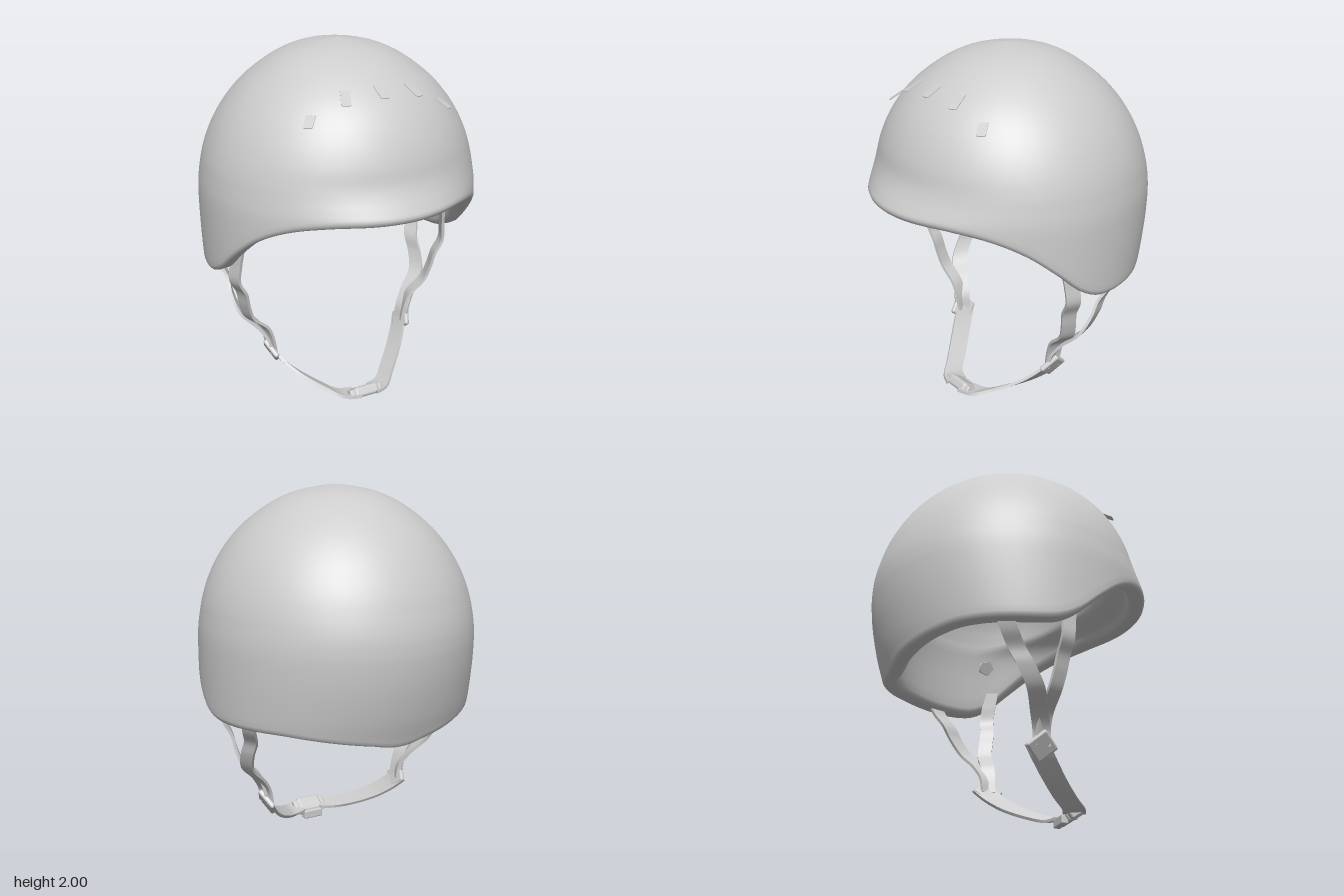
import * as THREE from 'three';
import { toCreasedNormals } from 'three/addons/utils/BufferGeometryUtils.js';
import { RoundedBoxGeometry } from 'three/addons/geometries/RoundedBoxGeometry.js';

const grey = new THREE.MeshStandardMaterial({ color: 0xcccccc });
grey.name = 'grey';

// smooth interpolation of column c in a table sorted by its first column
function sample(table, x, c) {
  const n = table.length;
  let i = 0;
  while (i < n - 2 && x > table[i + 1][0]) i++;
  const slope = (a, b) => (table[b][c] - table[a][c]) / (table[b][0] - table[a][0]);
  const h = table[i + 1][0] - table[i][0];
  const u = Math.min(1, Math.max(0, (x - table[i][0]) / h));
  const m0 = slope(Math.max(0, i - 1), i + 1) * h;
  const m1 = slope(i, Math.min(n - 1, i + 2)) * h;
  const u2 = u * u, u3 = u2 * u;
  return (2 * u3 - 3 * u2 + 1) * table[i][c] + (u3 - 2 * u2 + u) * m0
    + (3 * u2 - 2 * u3) * table[i + 1][c] + (u3 - u2) * m1;
}

// shell outline from the crown down: height, half width, front depth, back depth, brow flare
const outline = [
  [2, 0, 0, 0, 0], [1.988, 0.09, 0.08, 0.105, 0], [1.96, 0.22, 0.205, 0.24, 0], [1.9, 0.35, 0.338, 0.37, 0],
  [1.8, 0.485, 0.478, 0.505, 0], [1.7, 0.578, 0.568, 0.6, 0], [1.6, 0.645, 0.628, 0.667, 0],
  [1.5, 0.692, 0.668, 0.717, 0], [1.41, 0.721, 0.69, 0.747, 0], [1.35, 0.733, 0.702, 0.763, 0.015],
  [1.3, 0.741, 0.712, 0.772, 0.036], [1.25, 0.747, 0.72, 0.776, 0.055], [1.18, 0.75, 0.725, 0.776, 0.055],
  [1.05, 0.75, 0.73, 0.762, 0.055], [0.9, 0.747, 0.735, 0.73, 0.055], [0.8, 0.742, 0.735, 0.7, 0.055],
  [0.7, 0.735, 0.735, 0.665, 0.055],
].map((row, i) => [i, ...row]);

// height of the lower edge along z, back to front
const rim = [
  [-0.7, 0.725], [-0.686, 0.747], [-0.64, 0.77], [-0.56, 0.792], [-0.45, 0.808], [-0.05, 0.815], [0.1, 0.87],
  [0.25, 0.99], [0.4, 1.105], [0.55, 1.185], [0.68, 1.222], [0.775, 1.228],
];

function shellGeometry() {
  const around = 128, outer = 44, inner = 28;
  const pos = [], index = [];
  let count = 0;
  for (let i = 0; i < around; i++) {
    const a = (i / around) * Math.PI * 2, s = Math.sin(a), c = Math.cos(a);
    const edge = sample(rim, c * (c > 0 ? 0.775 : 0.7), 1);
    let lo = 0, hi = outline.length - 1;
    for (let k = 0; k < 30; k++) {
      const mid = (lo + hi) / 2;
      if (sample(outline, mid, 1) > edge + 0.03) lo = mid; else hi = mid;
    }
    const start = pos.length;
    const put = (t, scale, y) => {
      const depth = c > 0 ? sample(outline, t, 3) + sample(outline, t, 5) * c ** 4 : sample(outline, t, 4);
      pos.push(sample(outline, t, 2) * s * scale, y, depth * c * scale);
    };
    for (let j = 0; j <= outer; j++) {
      const t = (lo * j) / outer;
      put(t, 1, sample(outline, t, 1));
    }
    // rolled edge
    for (const [k, dy] of [[0.994, 0.014], [0.98, 0.003], [0.955, 0], [0.9, 0.003], [0.875, 0.018]]) put(lo, k, edge + dy);
    // padded inside
    for (let j = 0; j <= inner; j++) {
      const f = j / inner, t = lo * (1 - f);
      put(t, 0.865 - 0.085 * Math.min(1, f * 5), sample(outline, t, 1) + 0.01 - 0.14 * f);
    }
    count = (pos.length - start) / 3;
  }
  for (let i = 0; i < around; i++) {
    const p = i * count, q = ((i + 1) % around) * count;
    for (let j = 0; j < count - 1; j++) {
      index.push(p + j, p + j + 1, q + j + 1, p + j, q + j + 1, q + j);
    }
  }
  const g = new THREE.BufferGeometry();
  g.setAttribute('position', new THREE.Float32BufferAttribute(pos, 3));
  g.setIndex(index);
  g.computeVertexNormals();
  return g;
}

// webbing along points [x, y, z], its width lying along z, tilted up and turned outwards
function webbing(points, width, tilt, yaw) {
  const thick = 0.016, steps = 48;
  const path = new THREE.CatmullRomCurve3(points.map(p => new THREE.Vector3(...p)));
  const w = new THREE.Vector3(Math.tan(yaw), Math.sin(tilt), Math.cos(tilt));
  const pos = [], index = [];
  for (let i = 0; i <= steps; i++) {
    const p = path.getPoint(i / steps), t = path.getTangent(i / steps);
    const n = new THREE.Vector3().crossVectors(t, w).normalize();
    for (const [sw, sn] of [[1, 1], [-1, 1], [-1, -1], [1, -1]]) {
      const v = p.clone().addScaledVector(w, sw * width / 2).addScaledVector(n, sn * thick / 2);
      pos.push(v.x, v.y, v.z);
    }
    if (i === steps) continue;
    for (let k = 0; k < 4; k++) {
      const A = i * 4 + k, B = i * 4 + (k + 1) % 4;
      index.push(A, B, B + 4, A, B + 4, A + 4);
    }
  }
  const e = steps * 4;
  index.push(0, 2, 1, 0, 3, 2, e, e + 1, e + 2, e, e + 2, e + 3);
  const g = new THREE.BufferGeometry();
  g.setAttribute('position', new THREE.Float32BufferAttribute(pos, 3));
  g.setIndex(index);
  return toCreasedNormals(g, 0.7);
}

// thin tongue with a rounded tip, lying from one point to another
function ventTab(from, to) {
  const a = new THREE.Vector3(...from), b = new THREE.Vector3(...to);
  const len = a.distanceTo(b), w = 0.024;
  const s = new THREE.Shape();
  s.moveTo(-w, 0);
  s.lineTo(w, 0);
  s.lineTo(w, len - 0.012);
  s.quadraticCurveTo(w, len, w - 0.012, len);
  s.lineTo(-w + 0.012, len);
  s.quadraticCurveTo(-w, len, -w, len - 0.012);
  const g = new THREE.ExtrudeGeometry(s, { depth: 0.004, bevelEnabled: false });
  const Y = b.clone().sub(a).normalize();
  const out = new THREE.Vector3(a.x, 0.6, a.z);
  const X = new THREE.Vector3().crossVectors(Y, out).normalize();
  const Z = new THREE.Vector3().crossVectors(X, Y);
  return g.applyMatrix4(new THREE.Matrix4().makeBasis(X, Y, Z).setPosition(a));
}

export function createModel() {
  const model = new THREE.Group();
  model.name = 'helmet';
  const add = (name, geometry, position = [0, 0, 0], rotation = [0, 0, 0]) => {
    const mesh = new THREE.Mesh(geometry, grey);
    mesh.name = name;
    mesh.position.set(...position);
    mesh.rotation.set(...rotation);
    model.add(mesh);
  };

  add('shell', shellGeometry());

  // row of vent tabs over the brow
  add('ventTabCentre', ventTab([0, 1.843, 0.415], [0, 1.79, 0.515]));
  for (const [side, m] of [['Left', 1], ['Right', -1]]) {
    add('ventTabInner' + side, ventTab([m * 0.172, 1.825, 0.415], [m * 0.206, 1.773, 0.498]));
    add('ventTabOuter' + side, ventTab([m * 0.355, 1.728, 0.42], [m * 0.4, 1.682, 0.472]));

    // harness
    const mirror = pts => pts.map(([x, y, z]) => [m * x, y, z]);
    add('frontStrap' + side, webbing(mirror([
      [0.63, 0.96, 0.1], [0.64, 0.87, 0.085], [0.645, 0.77, 0.075],
      [0.605, 0.69, 0.065], [0.585, 0.6, 0.05], [0.555, 0.52, 0.035], [0.47, 0.44, 0.025],
      [0.44, 0.37, 0.02], [0.42, 0.27, 0.015]]), 0.075, 0, -m * 0.35));
    add('rearStrap' + side, webbing(mirror([
      [0.6, 0.96, -0.31], [0.635, 0.88, -0.27], [0.625, 0.78, -0.225], [0.595, 0.7, -0.175],
      [0.595, 0.62, -0.13], [0.57, 0.52, -0.07], [0.485, 0.43, -0.02],
      [0.435, 0.35, 0.01], [0.42, 0.27, 0.015]]), 0.085, 0, m * 0.35));
    add('chinStrap' + side, webbing(mirror([
      [0.425, 0.28, -0.01], [0.38, 0.22, 0.045], [0.31, 0.155, 0.12],
      [0.21, 0.095, 0.22], [0.13, 0.062, 0.3], [0.05, 0.062, 0.335]]), 0.13, 0.12, 0));
    add('strapSlider' + side, new RoundedBoxGeometry(0.03, 0.12, 0.125, 3, 0.012).rotateX(-0.75),
      [m * 0.422, 0.272, 0.015], [0, 0, -m * 0.5]);
    // strap end coming out of the padding
    add('strapAnchor' + side, new THREE.CylinderGeometry(0.045, 0.045, 0.03, 5).rotateZ(Math.PI / 2),
      [m * 0.53, 1.08, 0.03], [0, 0, m * 0.4]);
  }

  // chin buckle
  add('buckleBody', new RoundedBoxGeometry(0.15, 0.06, 0.1, 3, 0.018), [0, 0.058, 0.33], [-0.6, 0, 0]);
  add('buckleEnds', new RoundedBoxGeometry(0.2, 0.045, 0.08, 3, 0.012), [0, 0.058, 0.33], [-0.6, 0, 0]);
  add('buckleTongue', new RoundedBoxGeometry(0.12, 0.05, 0.04, 2, 0.008), [0, 0.025, 0.28]);
  return model;
}
